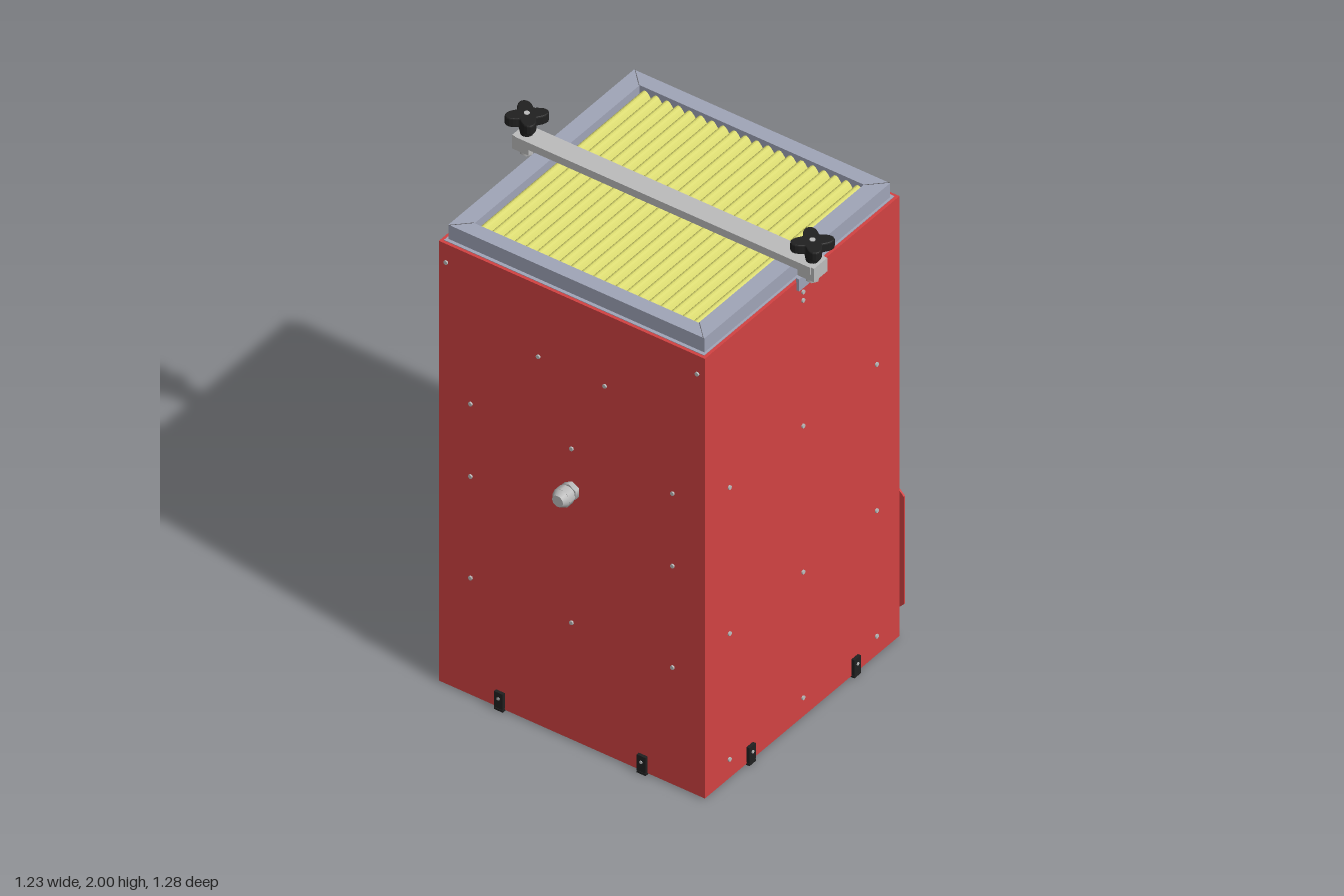
import * as THREE from 'three';

const mat = (name, color, side = THREE.FrontSide) => {
  const m = new THREE.MeshStandardMaterial({ color, side });
  m.name = name;
  return m;
};

export function createModel() {
  const red = mat('red paint', 0xd24242);
  const blueGrey = mat('blue grey frame', 0xa0a5b8);
  const steel = mat('light steel', 0xbcbcbc);
  const yellow = mat('yellow filter', 0xd8d86e);
  const black = mat('black plastic', 0x202020);
  const brass = mat('brass', 0xc9c050);
  const dark = mat('dark grey', 0x5c5c60);

  const root = new THREE.Group();
  root.name = 'filterCabinet';
  const CX = 0.0075, HX = 0.5425, HZ = 0.54;

  const add = (name, geo, material, x = 0, y = 0, z = 0, parent = root) => {
    const m = new THREE.Mesh(geo, material);
    m.name = name;
    m.position.set(x, y, z);
    parent.add(m);
    return m;
  };
  const box = (name, material, w, h, d, x, y, z, parent) =>
    add(name, new THREE.BoxGeometry(w, h, d), material, x, y, z, parent);
  const rectPath = (P, hx, hz) => {
    const p = new P();
    p.moveTo(-hx, -hz).lineTo(hx, -hz).lineTo(hx, hz).lineTo(-hx, hz).closePath();
    return p;
  };
  // Rectangular frame with a rectangular opening
  const ring = (name, material, hx, hz, ix, iz, y0, y1) => {
    const s = rectPath(THREE.Shape, hx, hz);
    s.holes.push(rectPath(THREE.Path, ix, iz));
    const g = new THREE.ExtrudeGeometry(s, { depth: y1 - y0, bevelEnabled: false });
    return add(name, g.rotateX(-Math.PI / 2), material, CX, y0, 0);
  };
  // Corrugated slab whose ridges run along x
  const pleats = (name, material, count, width, length, height) => {
    const s = new THREE.Shape();
    s.moveTo(-width / 2, -0.02);
    s.lineTo(width / 2, -0.02);
    const n = count * 8;
    for (let i = n; i >= 0; i--)
      s.lineTo(-width / 2 + (width * i) / n, height * Math.abs(Math.sin((i * Math.PI) / 8)));
    s.closePath();
    const g = new THREE.ExtrudeGeometry(s, { depth: length, bevelEnabled: false });
    return add(name, g.translate(0, 0, -length / 2).rotateY(Math.PI / 2), material);
  };

  // Cabinet shell
  ring('shell', red, HX, HZ, HX - 0.012, HZ - 0.012, 0.005, 1.825);
  ring('bottomRim', red, HX - 0.001, HZ - 0.001, HX - 0.09, HZ - 0.09, 0.005, 0.05);

  // Top filter in its frame
  ring('topPlate', blueGrey, HX - 0.012, HZ - 0.012, 0.46, 0.455, 1.81, 1.827);
  ring('topFrame', blueGrey, 0.5175, 0.52, 0.46, 0.455, 1.82, 1.885);
  pleats('topFilter', yellow, 20, 0.91, 0.92, 0.022).position.set(CX, 1.85, 0);
  for (const sx of [-1, 1]) for (const sz of [-1, 1]) {
    const line = box('mitreLine', dark, 0.083, 0.002, 0.002, CX + sx * 0.489, 1.885, sz * 0.487);
    line.rotation.y = -sx * sz * Math.PI / 4;
  }

  // Bottom filter
  ring('bottomFrame', blueGrey, HX - 0.013, HZ - 0.013, 0.44, 0.41, 0.05, 0.09);
  ring('bottomSeal', dark, HX - 0.013, HZ - 0.013, 0.41, 0.385, 0.09, 0.12);
  box('bottomPlate', dark, 1.04, 0.01, 1.04, CX, 0.14, 0);
  for (let i = 0; i < 7; i++) {
    const slat = add('bottomSlat', new THREE.CylinderGeometry(0.036, 0.036, 0.86, 12), steel,
      CX, 0.135, -0.33 + i * 0.11);
    slat.rotation.z = Math.PI / 2;
  }

  // Clamp bar and its knobs
  box('clampBar', steel, 0.08, 0.03, 1.2, 0.01, 1.9, 0);
  const knobShape = new THREE.Shape();
  for (let i = 0; i <= 48; i++) {
    const a = (i / 48) * Math.PI * 2, r = 0.053 - 0.017 * Math.cos(4 * a);
    knobShape[i ? 'lineTo' : 'moveTo'](r * Math.cos(a), r * Math.sin(a));
  }
  const knobGeo = new THREE.ExtrudeGeometry(knobShape, {
    depth: 0.026, bevelEnabled: true, bevelSize: 0.004, bevelThickness: 0.005, bevelSegments: 2,
  }).rotateX(-Math.PI / 2);
  for (const s of [-1, 1]) {
    const clamp = new THREE.Group();
    clamp.name = 'clampEnd';
    clamp.position.set(0.01, 0, s * 0.58);
    root.add(clamp);
    box('barEnd', steel, 0.074, 0.056, 0.066, 0, 1.887, 0, clamp);
    add('knobHead', knobGeo, black, 0, 1.966, 0, clamp);
    add('knobNeck', new THREE.CylinderGeometry(0.032, 0.022, 0.055, 16), black, 0, 1.942, 0, clamp);
    add('knobBolt', new THREE.CylinderGeometry(0.01, 0.01, 0.004, 12), steel, 0, 1.998, 0, clamp);
    add('clampNut', new THREE.CylinderGeometry(0.024, 0.024, 0.025, 6), steel, 0, 1.848, 0, clamp);
    box('clampHook', blueGrey, 0.066, 0.05, 0.012, 0, 1.815, -s * 0.036, clamp);
  }

  // One group per side: local x runs along the wall, local z points outward
  const side = (name, angle, offset) => {
    const g = new THREE.Group(), inner = new THREE.Group();
    g.name = name;
    g.rotation.y = angle;
    inner.position.z = offset;
    g.add(inner);
    root.add(g);
    return inner;
  };
  const front = side('frontFittings', 0, HZ);
  const back = side('backFittings', Math.PI, HZ);
  const right = side('plusXFittings', Math.PI / 2, CX + HX);
  const left = side('minusXFittings', -Math.PI / 2, HX - CX);

  const rod = (name, material, parent, u, y, z0, z1, r, sides = 20, r2 = r) =>
    add(name, new THREE.CylinderGeometry(r2, r, z1 - z0, sides).rotateX(Math.PI / 2),
      material, u, y, (z0 + z1) / 2, parent);
  const rivet = (parent, u, y, z = 0) => rod('rivet', steel, parent, u, y, z - 0.002, z + 0.006, 0.008, 8);
  const latch = (parent, u) => {
    box('latch', black, 0.036, 0.064, 0.012, u, 0.042, 0.006, parent);
    rod('latchPin', steel, parent, u, 0.05, 0.01, 0.015, 0.006, 8);
    box('latchFoot', black, 0.036, 0.008, 0.05, u, 0.004, -0.013, parent);
  };

  // Rivets and latches
  for (const [f, c] of [[front, 0.01], [back, -0.01]]) {
    for (const y of [0.085, 0.605, 1.21])
      for (const u of [-0.41, 0, 0.41]) rivet(f, c + u, y);
    for (const y of [1.73, 1.765]) rivet(f, c, y);
    for (const u of [-0.2925, 0.2925]) latch(f, u + Math.sign(c) * 0.0075);
  }
  for (const f of [left, right]) {
    for (const u of [-0.41, 0, 0.41]) rivet(f, u, 1.21);
    for (const u of [-0.29, 0.29]) latch(f, u);
  }
  for (const u of [-0.41, 0, 0.41]) for (const y of [0.49, 0.91]) if (u || y < 0.9) rivet(left, u, y);
  for (const u of [-0.135, 0.135]) rivet(left, u, 1.53);
  for (const u of [-0.51, 0.51]) rivet(left, u, 1.75);

  // Round port
  rod('portCollar', steel, right, 0.4, 0.82, 0, 0.03, 0.088, 40);
  rod('portFlange', steel, right, 0.4, 0.82, 0.018, 0.045, 0.105, 40);
  rod('portCap', steel, right, 0.4, 0.82, 0.045, 0.05, 0.102, 40, 0.088);
  add('portGroove', new THREE.RingGeometry(0.084, 0.087, 40), dark, 0.4, 0.82, 0.0508, right);
  for (const u of [0.3, 0.49]) for (const y of [0.7, 0.94]) rivet(right, u, y);

  // Access panel on four brass bolts
  const panel = new THREE.Shape();
  panel.moveTo(-0.52, 0.1).lineTo(0.52, 0.1).lineTo(0.54, 0.12).lineTo(0.54, 0.565)
    .lineTo(0.52, 0.585).lineTo(-0.52, 0.585).lineTo(-0.54, 0.565).lineTo(-0.54, 0.12).closePath();
  add('accessPanel', new THREE.ExtrudeGeometry(panel, { depth: 0.007, bevelEnabled: false }),
    red, 0, 0, 0.024, right);
  box('panelBacking', blueGrey, 0.92, 0.34, 0.014, 0, 0.345, 0.017, right);
  box('panelHandle', blueGrey, 0.64, 0.008, 0.014, 0, 0.588, 0.024, right);
  for (const u of [-0.33, 0.33]) for (const y of [0.13, 0.557]) {
    rod('boltStud', brass, right, u, y, 0, 0.06, 0.009, 12);
    rod('boltWasher', brass, right, u, y, 0.031, 0.036, 0.022, 16);
    rod('boltNut', brass, right, u, y, 0.036, 0.052, 0.018, 6);
  }
  for (const u of [-0.42, 0, 0.41]) for (const y of [0.225, 0.46]) rivet(right, u, y, 0.031);

  // Cable gland
  rod('glandBase', steel, left, 0, 1.04, 0, 0.02, 0.034, 6);
  rod('glandBody', steel, left, 0, 1.04, 0.02, 0.03, 0.026, 20);
  rod('glandNut', steel, left, 0, 1.04, 0.03, 0.06, 0.036, 8);
  rod('glandTip', steel, left, 0, 1.04, 0.06, 0.08, 0.034, 20, 0.022);

  return root;
}
